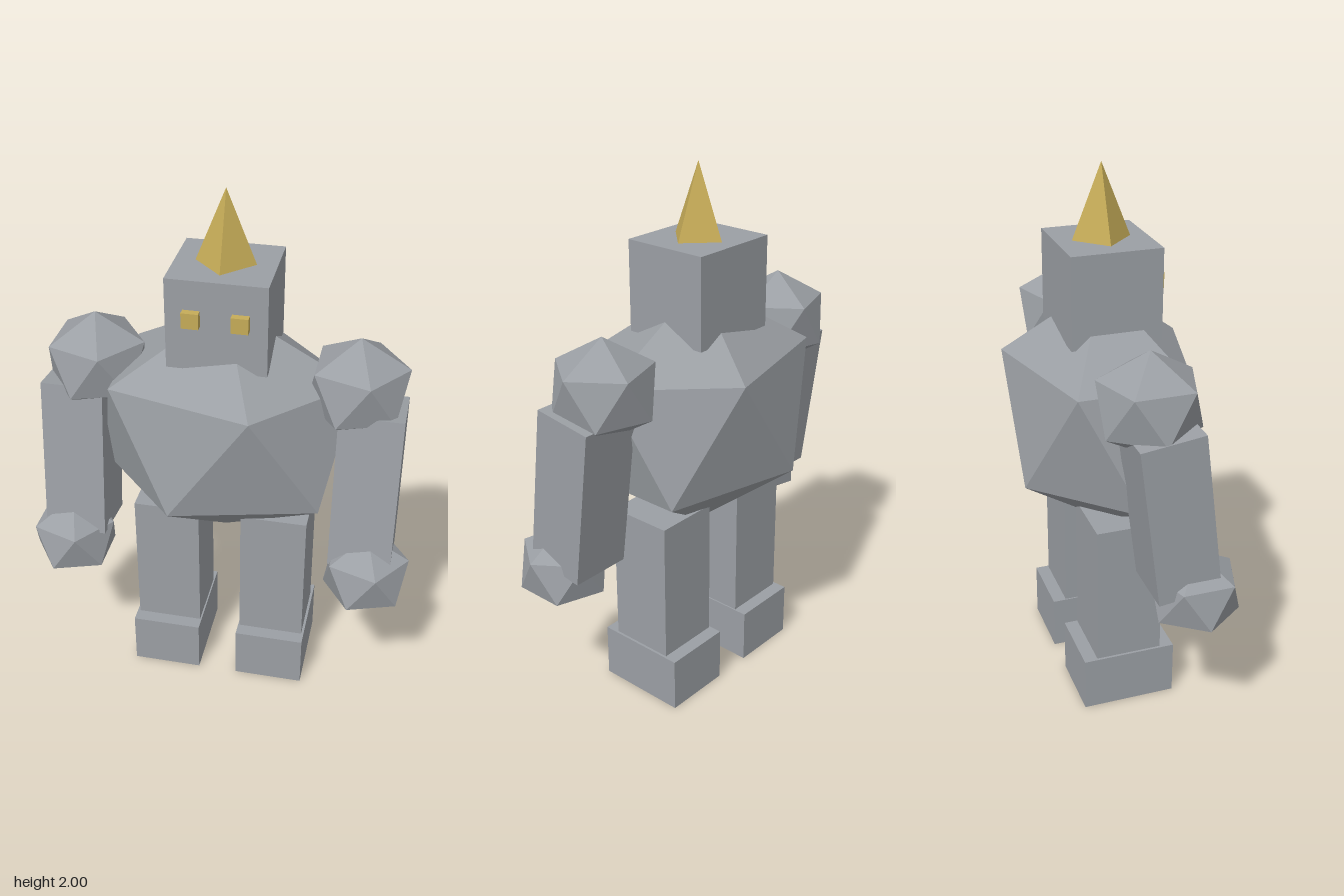
import * as THREE from 'three';

export function createModel() {
  const golem = new THREE.Group();
  golem.name = 'golem';

  const stone = new THREE.MeshStandardMaterial({ color: 0x9b9fa4, flatShading: true });
  stone.name = 'stone';
  const gold = new THREE.MeshStandardMaterial({ color: 0xc6ac58, flatShading: true });
  gold.name = 'gold';

  const add = (name, geometry, material, x, y, z) => {
    const mesh = new THREE.Mesh(geometry, material);
    mesh.name = name;
    mesh.position.set(x, y, z);
    golem.add(mesh);
    return mesh;
  };
  const box = (w, h, d) => new THREE.BoxGeometry(w, h, d);

  // Icosahedron standing on a vertex, with an upper ring vertex towards +x
  const rock = (rx, ry, rz) => new THREE.IcosahedronGeometry(1, 0)
    .rotateZ(-Math.atan(2 / (1 + Math.sqrt(5))))
    .scale(rx, ry, rz);

  // Torso and head
  add('torso', rock(0.525, 0.475, 0.394), stone, 0, 1.095, 0);
  add('head', box(0.354, 0.335, 0.33), stone, 0, 1.5675, 0);
  add('horn', new THREE.ConeGeometry(0.106, 0.265, 4), gold, 0, 1.8675, 0);

  // Paired parts; the rocks keep the same orientation on both sides
  for (const [side, s] of [['left', 1], ['right', -1]]) {
    add(side + 'Eye', box(0.06, 0.057, 0.05), gold, s * 0.085, 1.598, 0.167);
    add(side + 'Shoulder', rock(0.2, 0.188, 0.2), stone, s * 0.476, 1.313, 0.008);
    add(side + 'Arm', box(0.23, 0.6, 0.23), stone, s * 0.54, 0.948, 0.065).rotation.x = -0.13;
    add(side + 'Hand', rock(0.174, 0.163, 0.178), stone, s * 0.563, 0.608, 0.158);
    add(side + 'Leg', box(0.25, 0.56, 0.25), stone, s * 0.206, 0.475, 0);
    add(side + 'Foot', box(0.265, 0.21, 0.353), stone, s * 0.208, 0.105, 0);
  }
  return golem;
}
